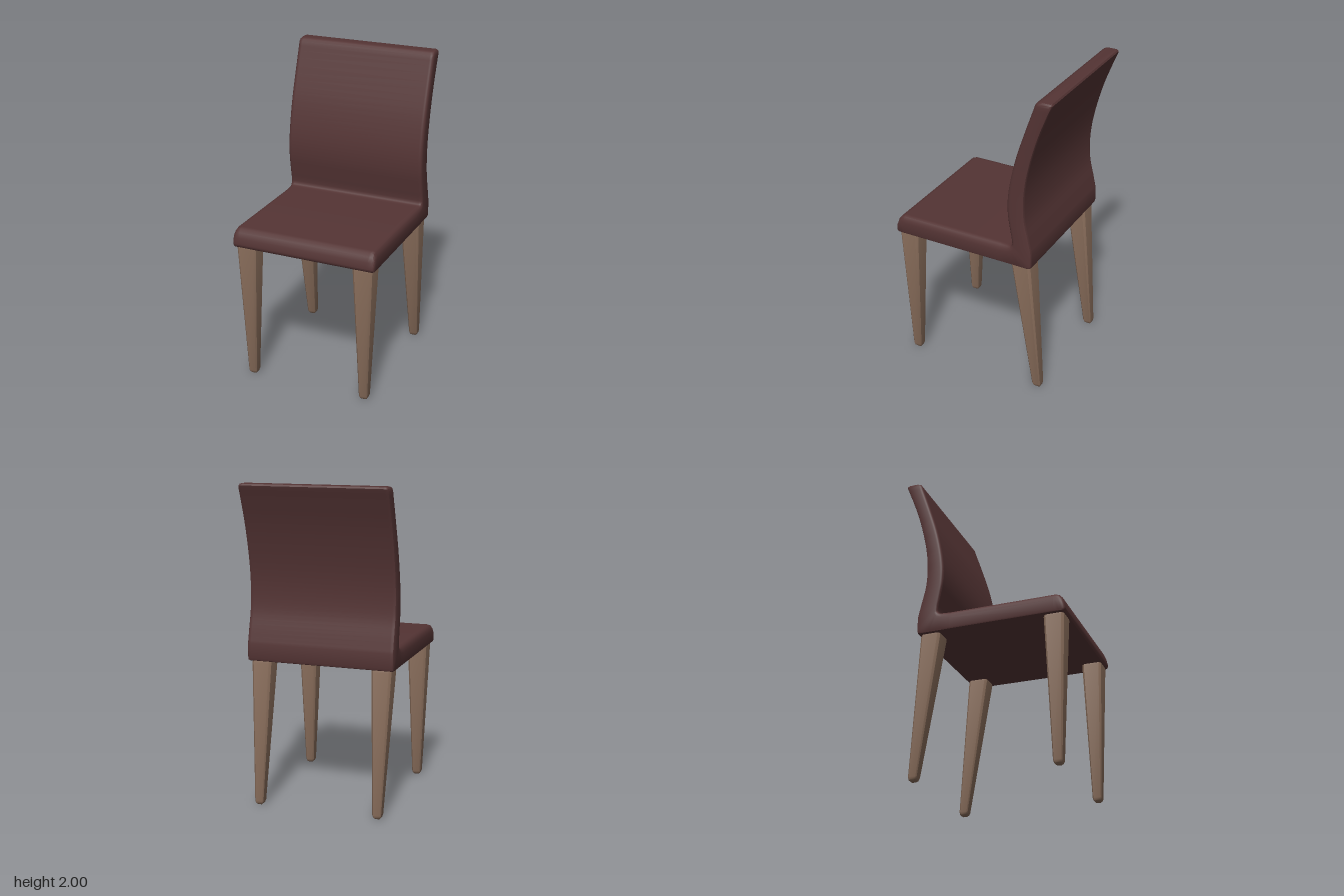
import * as THREE from 'three';
import { toCreasedNormals } from 'three/addons/utils/BufferGeometryUtils.js';

const upholstery = new THREE.MeshStandardMaterial({ color: 0x543434 });
const wood = new THREE.MeshStandardMaterial({ color: 0x856a58 });

// Joins equal rings of [x, y, z] points into a closed solid with flat ends
function loft(rings) {
  const n = rings[0].length, last = (rings.length - 1) * n;
  const pos = rings.flat(2), idx = [];
  for (const ring of [rings[0], rings[rings.length - 1]]) {
    for (let k = 0; k < 3; k++) pos.push(ring.reduce((sum, p) => sum + p[k], 0) / n);
  }
  for (let i = 0; i < n; i++) {
    const j = (i + 1) % n;
    for (let r = 0; r < last; r += n) {
      idx.push(r + i, r + n + i, r + j, r + j, r + n + i, r + n + j);
    }
    idx.push(last + n, i, j, last + n + 1, last + j, last + i);
  }
  const geo = new THREE.BufferGeometry();
  geo.setAttribute('position', new THREE.Float32BufferAttribute(pos, 3));
  geo.setIndex(idx);
  return toCreasedNormals(geo, 0.65);
}

// Cross-section of the shell between an inner and an outer point (z, y):
// half-width w, edge rounding b on the sitting side, small rounding behind
function shellRing([iz, iy, oz, oy, w, b]) {
  const d = Math.hypot(oz - iz, oy - iy);
  const depth = Math.min(b * 1.5, d * 0.4), bo = Math.min(0.012, d * 0.3);
  const half = [[w - bo - 0.01, d], [w - bo, d], [w - 0.3 * bo, d - 0.3 * bo], [w, d - bo]];
  for (let k = 0; k <= 3; k++) {
    const a = k * Math.PI / 6;
    half.push([w - b + b * Math.cos(a), depth * (1 - Math.sin(a))]);
  }
  half.push([w - b - 0.01, 0]);
  const mirrored = half.map(([x, s]) => [-x, s]).reverse();
  return [...half, ...mirrored].map(([x, s]) =>
    [x, iy + (oy - iy) * s / d, iz + (oz - iz) * s / d]);
}

// Seat and curved back in one piece, from the front edge to the top of the back
function shellGeometry() {
  const base = 0.908;
  const sections = [
    // Rounded front edge
    [0.529, 0.938, 0.527, 0.92, 0.456, 0.03],
    [0.522, 0.972, 0.52, 0.911, 0.464, 0.03],
    [0.51, 1.003, 0.508, base, 0.468, 0.03],
    [0.492, 1.023, 0.49, base, 0.468, 0.03],
    [0.47, 1.03, 0.47, base, 0.468, 0.03],
    [0.46, 1.03, 0.46, base, 0.468, 0.03],
    // Seat, turning up into the back
    [-0.2, 1.03, -0.2, base, 0.468, 0.03],
    [-0.25, 1.03, -0.26, base, 0.468, 0.024],
    [-0.27, 1.031, -0.34, base, 0.468, 0.02],
    [-0.281, 1.037, -0.395, base, 0.468, 0.016],
    [-0.287, 1.048, -0.411, 0.914, 0.467, 0.015],
    [-0.287, 1.06, -0.416, 0.93, 0.467, 0.015],
  ];

  // Back: the front and rear curves are sampled together
  const curve = (list) => new THREE.SplineCurve(list.map(([z, y]) => new THREE.Vector2(z, y)));
  const inner = curve([[-0.284, 1.085], [-0.27, 1.16], [-0.256, 1.25], [-0.255, 1.35],
    [-0.271, 1.47], [-0.305, 1.62], [-0.355, 1.78], [-0.413, 1.95]]);
  const outer = curve([[-0.414, 1.02], [-0.394, 1.11], [-0.369, 1.22], [-0.362, 1.34],
    [-0.372, 1.47], [-0.402, 1.62], [-0.448, 1.78], [-0.512, 1.95]]);
  const steps = 28;
  for (let k = 0; k <= steps; k++) {
    const a = inner.getPoint(k / steps), b = outer.getPoint(k / steps);
    sections.push([a.x, a.y, b.x, b.y, 0.467 - 0.004 * k / steps, 0.015]);
  }

  // Rounded top edge
  sections.push(
    [-0.421, 1.975, -0.522, 1.973, 0.463, 0.015],
    [-0.431, 1.991, -0.527, 1.988, 0.46, 0.015],
    [-0.445, 1.999, -0.521, 1.998, 0.453, 0.015],
    [-0.455, 2, -0.512, 2, 0.445, 0.012],
  );
  return loft(sections.map(shellRing));
}

// Tapered leg: chamfered square sections from the foot up to the seat
function legGeometry(footZ, topZ) {
  const top = 0.912;
  return loft([[0, 0.014], [0.008, 0.023], [0.025, 0.028], [0.897, 0.063], [top, 0.06]].map(([y, h]) => {
    const c = h * 0.78; // where each chamfer starts
    const cz = THREE.MathUtils.lerp(footZ, topZ, y / top);
    return [[h, -c], [h, c], [c, h], [-c, h], [-h, c], [-h, -c], [-c, -h], [c, -h]]
      .map(([x, z]) => [x, y, cz + z]);
  }));
}

export function createModel() {
  const chair = new THREE.Group();
  chair.name = 'chair';

  const shell = new THREE.Mesh(shellGeometry(), upholstery);
  shell.name = 'seatAndBack';
  chair.add(shell);

  // Front legs stand straight, back legs rake backwards
  for (const [name, footZ, topZ] of [['front', 0.449, 0.452], ['back', -0.439, -0.334]]) {
    const geo = legGeometry(footZ, topZ);
    for (const side of [1, -1]) {
      const leg = new THREE.Mesh(geo, wood);
      leg.name = name + (side > 0 ? 'LeftLeg' : 'RightLeg');
      leg.position.x = side * 0.385;
      chair.add(leg);
    }
  }
  return chair;
}
